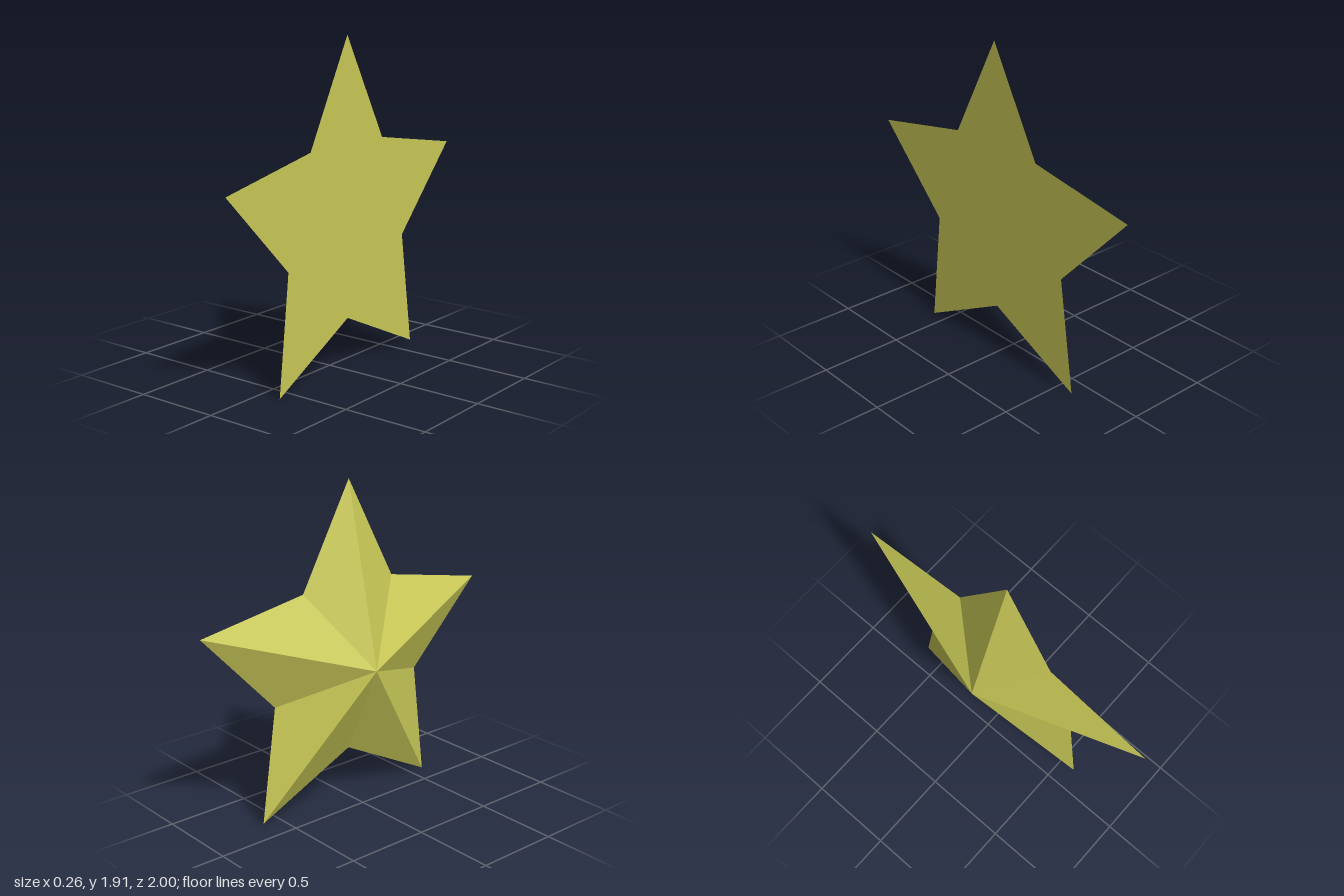
import * as THREE from 'three';

// Star outline as [z, y], tips and inner corners alternating
const OUTLINE = [
  [0.01, 1.91], [-0.32, 1.31], [-1, 1.2], [-0.53, 0.7], [-0.63, 0.02],
  [0, 0.31], [0.6, 0], [0.52, 0.685], [1, 1.17], [0.33, 1.305],
];
const HALF_DEPTH = 0.13;
const CENTRE = [-0.01, 0.86];

// Fan of triangles from a hub at hubX to the outline
function fan(name, hubX, flip, material) {
  const hub = [hubX, CENTRE[1], CENTRE[0]];
  const points = OUTLINE.map(([z, y]) => [HALF_DEPTH, y, z]);
  const positions = points.flatMap((p, i) => {
    const q = points[(i + 1) % points.length];
    return flip ? [...q, ...p, ...hub] : [...p, ...q, ...hub];
  });
  const geometry = new THREE.BufferGeometry();
  geometry.setAttribute('position', new THREE.Float32BufferAttribute(positions, 3));
  geometry.computeVertexNormals();
  const mesh = new THREE.Mesh(geometry, material);
  mesh.name = name;
  return mesh;
}

export function createModel() {
  const yellow = new THREE.MeshStandardMaterial({ color: 0xc9c957, flatShading: true });
  yellow.name = 'starYellow';

  const star = new THREE.Group();
  star.name = 'star';
  // Faceted side rising to a point, and the flat side closing it
  star.add(fan('facetedSide', -HALF_DEPTH, false, yellow));
  star.add(fan('flatSide', HALF_DEPTH, true, yellow));
  return star;
}
